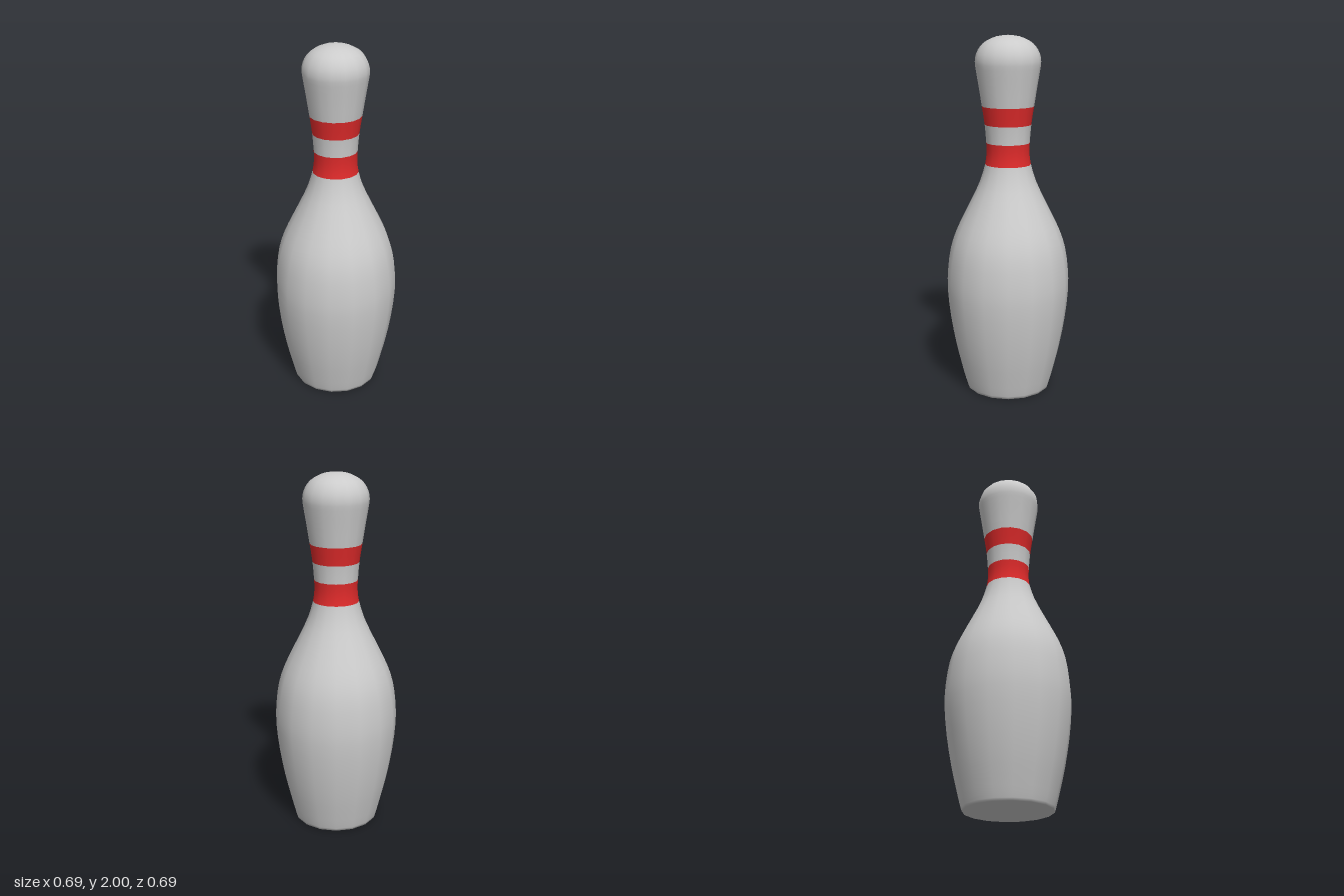
import * as THREE from 'three';

const SIDES = 16;

// Outer profile as [radius, height], from the base rim to the crown
const PROFILE = [
  [0.24, 0], [0.252, 0.04], [0.272, 0.12], [0.3, 0.24], [0.328, 0.4], [0.345, 0.57],
  [0.341, 0.7], [0.324, 0.82], [0.292, 0.92], [0.245, 1.02], [0.195, 1.12], [0.154, 1.21],
  [0.127, 1.3], [0.119, 1.36], [0.12, 1.42], [0.128, 1.52], [0.143, 1.62], [0.16, 1.73],
  [0.175, 1.82], [0.179, 1.86], [0.172, 1.9], [0.15, 1.94], [0.115, 1.97], [0.06, 1.993], [0, 2],
];

// Parts stacked along the height: [name, bottom, top, color]
const BANDS = [
  ['body', -1, 1.3, 0xcccccc],
  ['lowerStripe', 1.3, 1.42, 0xdd2a2a],
  ['neck', 1.42, 1.52, 0xcccccc],
  ['upperStripe', 1.52, 1.62, 0xdd2a2a],
  ['head', 1.62, 3, 0xcccccc],
];

export function createModel() {
  const group = new THREE.Group();
  group.name = 'bowlingPin';

  // Smooth profile, closed by a flat base
  const spline = new THREE.SplineCurve(PROFILE.map(([r, y]) => new THREE.Vector2(r, y)));
  const points = [new THREE.Vector2(0, 0), ...spline.getPoints((PROFILE.length - 1) * 2)];
  points[points.length - 1].set(0, 2);
  const lathe = new THREE.LatheGeometry(points, SIDES);
  const pos = lathe.attributes.position;
  const index = lathe.index.array;

  // Each part takes its rows of faces and shares the normals, so no seams show
  for (const [name, bottom, top, color] of BANDS) {
    const faces = [];
    for (let i = 0; i < index.length; i += 3) {
      const tri = [index[i], index[i + 1], index[i + 2]];
      const y = tri.reduce((sum, v) => sum + pos.getY(v), 0) / 3;
      if (y >= bottom && y < top) faces.push(...tri);
    }
    const geometry = new THREE.BufferGeometry();
    for (const key of ['position', 'normal', 'uv']) geometry.setAttribute(key, lathe.attributes[key]);
    geometry.setIndex(faces);
    const mesh = new THREE.Mesh(geometry, new THREE.MeshStandardMaterial({ color }));
    mesh.name = name;
    group.add(mesh);
  }
  return group;
}
